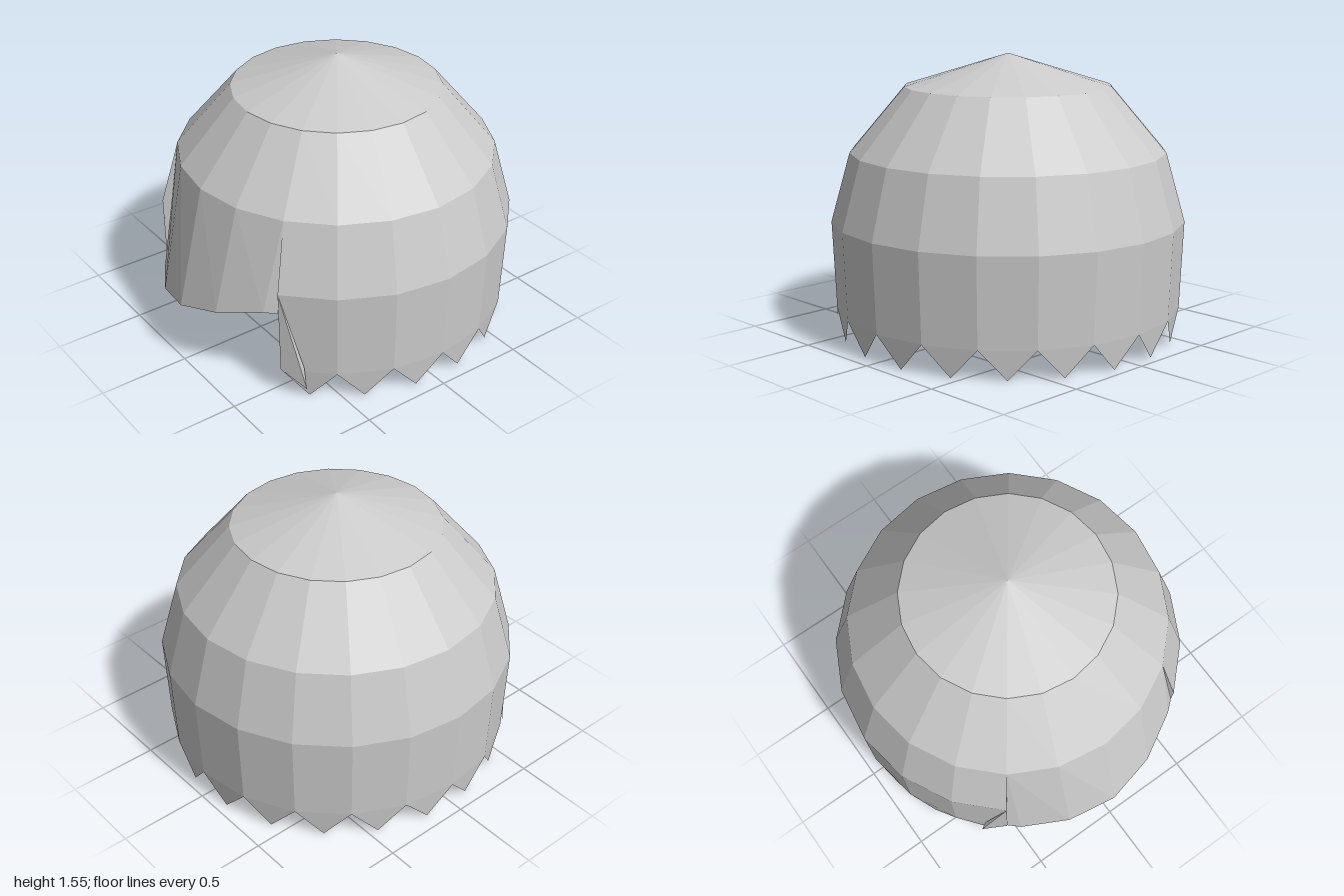
import * as THREE from 'three';

const SIDES = 20;
const STEP = (Math.PI * 2) / SIDES;
const CENTRE_Z = -0.026;
const APEX = [0, 1.55, CENTRE_Z];
// Rings of the dome, top to bottom: [radius, height]
const RINGS = [[0.567, 1.375], [0.867, 1.022], [0.972, 0.648], [0.952, 0.165]];
const TIP = [0.925, 0.003];
const FRINGE_RING = 1;  // the fringe hangs from this ring
const FRINGE_HALF = 2;  // sides covered by the fringe left and right of centre

// Point on a ring, counted in sides from the front (+z) towards +x
function at([radius, y], i) {
  const a = i * STEP;
  return [Math.sin(a) * radius, y, Math.cos(a) * radius + CENTRE_Z];
}

// Flat-shaded open surface from polygons of three or four corners
function surface(name, polygons) {
  const positions = [];
  for (const [a, ...rest] of polygons) {
    for (let i = 0; i + 1 < rest.length; i++) positions.push(...a, ...rest[i], ...rest[i + 1]);
  }
  const geometry = new THREE.BufferGeometry();
  geometry.setAttribute('position', new THREE.Float32BufferAttribute(positions, 3));
  geometry.computeVertexNormals();
  const material = new THREE.MeshStandardMaterial({
    color: 0xcccccc, flatShading: true, side: THREE.DoubleSide,
  });
  const mesh = new THREE.Mesh(geometry, material);
  mesh.name = name;
  return mesh;
}

export function createModel() {
  const group = new THREE.Group();
  group.name = 'hair';

  // Crown cap, dome bands and jagged hem; the lower bands are open at the front
  const crown = [], dome = [], hem = [];
  for (let i = 0; i < SIDES; i++) {
    crown.push([APEX, at(RINGS[0], i), at(RINGS[0], i + 1)]);
    const open = i < FRINGE_HALF || i >= SIDES - FRINGE_HALF;
    for (let r = 0; r + 1 < RINGS.length; r++) {
      if (open && r >= FRINGE_RING) continue;
      dome.push([at(RINGS[r], i), at(RINGS[r + 1], i), at(RINGS[r + 1], i + 1), at(RINGS[r], i + 1)]);
    }
    if (!open) hem.push([at(RINGS[3], i), at(TIP, i + 0.5), at(RINGS[3], i + 1)]);
  }
  group.add(surface('crown', crown), surface('dome', dome), surface('jaggedHem', hem));

  // Slanted fringe: hangs straight down from the ring and swings out forwards
  const hang = [[0.25, 0.81], [0.295, 0.945], [0.36, 1.0], [0.443, 0.945], [0.525, 0.81]];
  const fringe = [];
  const top = (i) => at(RINGS[FRINGE_RING], i - FRINGE_HALF);
  const low = (i) => [top(i)[0], hang[i][0], hang[i][1]];
  for (let i = 0; i < hang.length - 1; i++) fringe.push([top(i), low(i), low(i + 1), top(i + 1)]);
  group.add(surface('fringe', fringe));

  for (const side of [-1, 1]) {
    const prefix = side > 0 ? 'left' : 'right';
    const corner = at(RINGS[2], side * FRINGE_HALF);
    const order = (p) => (side > 0 ? p : [...p].reverse());

    // Narrow return joining the fringe to the side hair
    const end = side > 0 ? 4 : 0;
    const joint = [side * 0.57, side > 0 ? 0.53 : 0.265, 0.758];
    group.add(surface(prefix + 'FringeEnd', [
      order([top(end), low(end), joint]), order([top(end), joint, corner]),
    ]));

    // Thin pointed lock lying on the side hair
    const tip = [side * 0.675, 0.07, 0.66];
    const fold = [side * 0.655, 0.2, 0.662];
    group.add(surface(prefix + 'FrontLock', [
      order([corner, at(RINGS[3], side * FRINGE_HALF), tip]), order([corner, tip, fold]),
    ]));
  }
  return group;
}
